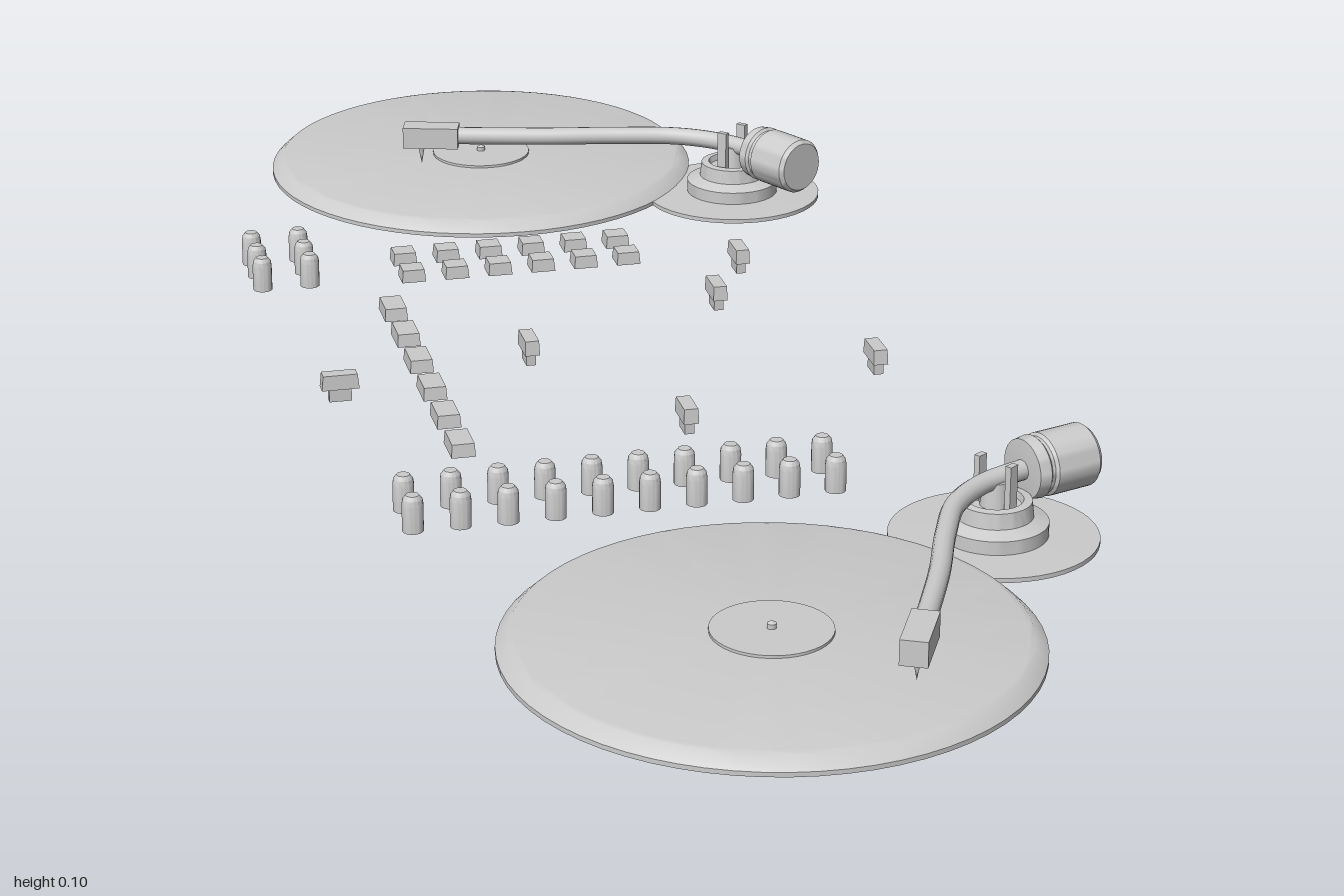
import * as THREE from 'three';
import { toCreasedNormals } from 'three/addons/utils/BufferGeometryUtils.js';

const material = new THREE.MeshStandardMaterial({ color: 0xcccccc, side: THREE.DoubleSide });

function add(parent, name, geometry, x = 0, y = 0, z = 0) {
  const mesh = new THREE.Mesh(geometry, material);
  mesh.name = name;
  mesh.position.set(x, y, z);
  parent.add(mesh);
  return mesh;
}

// Turned part with crisp edges, from [radius, height] pairs
function turned(points, segments) {
  const profile = points.map(([r, y]) => new THREE.Vector2(r, y));
  return toCreasedNormals(new THREE.LatheGeometry(profile, segments), 0.6);
}

// Box whose top is narrower than its base, standing on y = 0
function taperedBox(w, h, d, taper) {
  const geometry = new THREE.BoxGeometry(w, h, d).translate(0, h / 2, 0);
  const p = geometry.attributes.position;
  for (let i = 0; i < p.count; i++) {
    if (p.getY(i) > h / 2) p.setXYZ(i, p.getX(i) * taper, h, p.getZ(i) * taper);
  }
  return toCreasedNormals(geometry, 0.3);
}

// Box or cylinder laid horizontally between two points of the arm plane
function aim(mesh, a, b) {
  mesh.position.copy(a).lerp(b, 0.5);
  mesh.quaternion.setFromUnitVectors(new THREE.Vector3(0, 1, 0), b.clone().sub(a).normalize());
}

function createPlatter(z) {
  const platter = new THREE.Group();
  platter.name = 'platter';
  platter.position.set(-0.03, 0, z);
  add(platter, 'platterDisc', turned([[0, 0], [0.27, 0], [0.27, 0.005], [0.257, 0.017], [0.252, 0.018], [0, 0.018]], 64));
  add(platter, 'recordLabel', turned([[0.062, 0.018], [0.062, 0.021], [0, 0.021]], 40));
  add(platter, 'spindle', turned([[0.005, 0.021], [0.005, 0.026], [0, 0.029]], 12));
  return platter;
}

function createTonearm(z, turn) {
  const tonearm = new THREE.Group();
  tonearm.name = 'tonearm';
  tonearm.position.set(0.26, 0, z);
  tonearm.rotation.y = turn;

  // Base plate and hollow pedestal
  add(tonearm, 'armBase', turned([[0.05, 0], [0.11, 0], [0.11, 0.005], [0.057, 0.006], [0.057, 0.021],
    [0.041, 0.027], [0.039, 0.044], [0.03, 0.045], [0.028, 0.038], [0, 0.038]], 48));
  add(tonearm, 'pivotPost', new THREE.CylinderGeometry(0.013, 0.016, 0.03, 20), 0, 0.05, 0);

  // Curved tube
  const at = (x, z2, y = 0.066) => new THREE.Vector3(x, y, z2);
  const path = new THREE.CatmullRomCurve3([
    at(0.05, -0.024), at(-0.016, 0.008), at(-0.058, 0.05), at(-0.09, 0.117),
    at(-0.122, 0.2), at(-0.154, 0.272), at(-0.175, 0.317),
  ]);
  add(tonearm, 'armTube', new THREE.TubeGeometry(path, 48, 0.011, 14));

  // Pivot fork either side of the tube
  for (const s of [-1, 1]) {
    const post = add(tonearm, 'pivotFork', new THREE.BoxGeometry(0.012, 0.05, 0.007), s * 0.011, 0.063, s * 0.018);
    post.rotation.y = 0.6;
  }

  // Counterweight
  const weight = add(tonearm, 'counterweight', turned([[0, 0.04], [0.03, 0.04], [0.034, 0.035], [0.034, -0.017],
    [0.031, -0.02], [0.031, -0.024], [0.034, -0.027], [0.032, -0.04], [0, -0.043]].reverse(), 36));
  aim(weight, at(0.032, -0.018), at(0.115, -0.045));

  // Head with stylus
  const head = add(tonearm, 'headshell', new THREE.BoxGeometry(0.028, 0.07, 0.027));
  const from = at(-0.169, 0.307), to = at(-0.2, 0.37);
  head.position.copy(from).lerp(to, 0.5);
  head.rotation.set(Math.PI / 2, 0, -Math.atan2(to.x - from.x, to.z - from.z));
  add(tonearm, 'stylus', new THREE.ConeGeometry(0.005, 0.026, 8).rotateX(Math.PI), -0.19, 0.041, 0.35);
  return tonearm;
}

export function createModel() {
  const model = new THREE.Group();
  model.name = 'djDeckControls';

  // Two turntables
  model.add(createPlatter(-0.73), createPlatter(0.725));
  model.add(createTonearm(0.53, 0), createTonearm(-0.55, -80 * Math.PI / 180));

  // Round-topped knobs
  const knobShape = turned([[0, 0.004], [0.0115, 0.004], [0.0115, 0.034], [0.0105, 0.04], [0.007, 0.0445], [0, 0.046]], 16);
  for (let i = 0; i < 10; i++) {
    for (const z of [0.33, 0.384]) add(model, 'knob', knobShape, -0.323 + i * 0.0505, 0, z);
  }
  for (const x of [-0.373, -0.316]) {
    for (const z of [-0.43, -0.385, -0.341]) add(model, 'knob', knobShape, x, 0, z);
  }

  // Square and oblong push buttons
  const square = taperedBox(0.029, 0.015, 0.029, 0.9);
  const oblong = taperedBox(0.027, 0.015, 0.046, 0.92);
  for (let i = 0; i < 6; i++) {
    for (const z of [-0.405, -0.346]) add(model, 'squareButton', square, -0.191 + i * 0.053, 0, z);
    add(model, 'oblongButton', oblong, -0.234, 0, -0.234 + i * 0.0825);
  }

  // Fader caps on narrower stems
  const cap = taperedBox(0.017, 0.017, 0.042, 0.92);
  const stem = new THREE.BoxGeometry(0.011, 0.016, 0.025);
  const faders = [[0.188, -0.241], [0.132, -0.13], [-0.117, 0.012], [0.258, 0.103], [0.01, 0.22], [-0.344, -0.05]];
  faders[2][1] = -0.012;
  faders[5][1] = 0.05;
  faders.forEach(([x, z], i) => {
    const fader = new THREE.Group();
    fader.name = 'fader';
    fader.position.set(x, 0, z);
    if (i === 5) fader.rotation.y = Math.PI / 2;
    add(fader, 'faderCap', cap, 0, 0.032, 0);
    add(fader, 'faderStem', stem, 0, 0.025, 0);
    model.add(fader);
  });
  return model;
}
